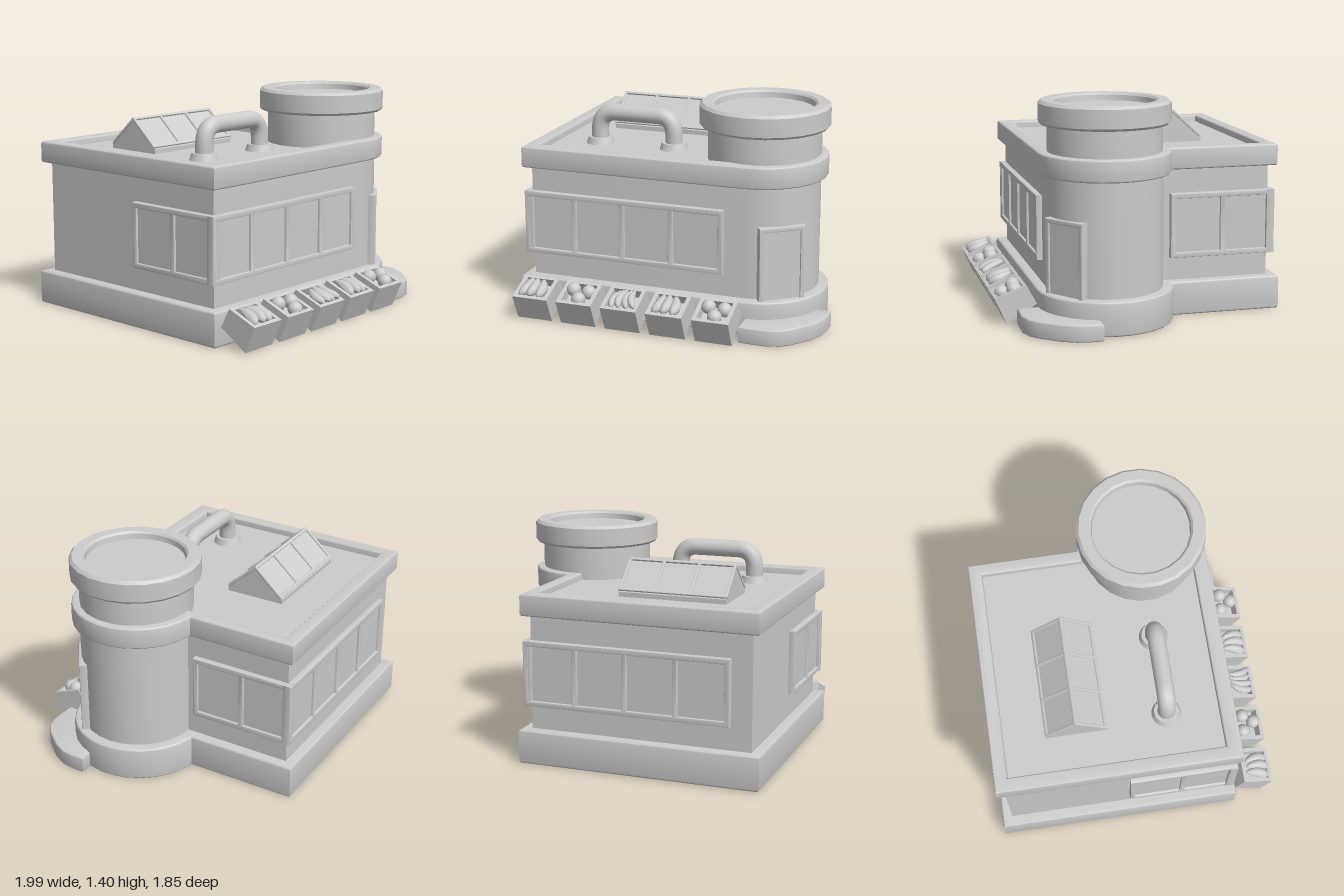
import * as THREE from 'three';
import { toCreasedNormals } from 'three/addons/utils/BufferGeometryUtils.js';

const grey = new THREE.MeshStandardMaterial({ color: 0xcccccc });
const CX = 0.5, CZ = 0.22, R = 0.37; // corner tower centre and radius

function add(parent, name, geo, crease = 0.5) {
  const mesh = new THREE.Mesh(crease ? toCreasedNormals(geo, crease) : geo, grey);
  mesh.name = name;
  parent.add(mesh);
  return mesh;
}

function group(parent, name, x, y, z, ry = 0) {
  const g = new THREE.Group();
  g.name = name;
  g.position.set(x, y, z);
  g.rotation.y = ry;
  parent.add(g);
  return g;
}

const polygon = (pts) => new THREE.Shape(pts.map(([x, y]) => new THREE.Vector2(x, y)));

function rectPath(x0, y0, x1, y1) {
  return new THREE.Path([[x0, y0], [x0, y1], [x1, y1], [x1, y0]].map(([x, y]) => new THREE.Vector2(x, y)));
}

// Building outline in x/z: a square block with a round front corner, grown by o
function footprint(o) {
  const r = R + o, start = -Math.acos(o / r), pts = [[-0.93 - o, 0.59 + o], [-0.93 - o, -0.86 - o], [CX + o, -0.86 - o]];
  for (let i = 0; i <= 14; i++) {
    const a = start + (Math.PI / 2 - start) * i / 14;
    pts.push([CX + r * Math.cos(a), CZ + r * Math.sin(a)]);
  }
  return polygon(pts);
}

// Horizontal slab from an x/z outline, with rounded edges
function slab(shape, y0, y1, b) {
  return new THREE.ExtrudeGeometry(shape, {
    depth: y1 - y0 - 2 * b, bevelEnabled: b > 0, bevelSize: b, bevelThickness: b, bevelOffset: -b, bevelSegments: 3,
  }).rotateX(Math.PI / 2).translate(0, y1 - b, 0);
}

// Framed panel with n openings; its front face lies on local z = 0
function framedPanel(parent, w, h, n, t, depth, recess) {
  const b = 0.006, s = polygon([[-w / 2, -h / 2], [w / 2, -h / 2], [w / 2, h / 2], [-w / 2, h / 2]]);
  const pane = (w - t * (n + 1)) / n;
  for (let i = 0; i < n; i++) {
    const x = -w / 2 + t + i * (pane + t);
    s.holes.push(rectPath(x, -h / 2 + t, x + pane, h / 2 - t));
  }
  add(parent, 'frame', new THREE.ExtrudeGeometry(s, {
    depth: depth - 2 * b, bevelEnabled: true, bevelSize: b, bevelThickness: b, bevelOffset: -b, bevelSegments: 2,
  }).translate(0, 0, b - depth));
  add(parent, 'panes', new THREE.BoxGeometry(w - t, h - t, depth - recess).translate(0, 0, -(depth + recess) / 2));
}

// Prism along x from a z/y profile
function prismX(pts, x, w) {
  return new THREE.ExtrudeGeometry(polygon(pts), { depth: w, bevelEnabled: false })
    .rotateY(-Math.PI / 2).translate(x + w / 2, 0, 0);
}

// Long curved fruit lying along z, tapered to both ends
function longFruit(r, len, bend) {
  const g = new THREE.SphereGeometry(1, 10, 10).rotateX(Math.PI / 2);
  const p = g.attributes.position;
  for (let i = 0; i < p.count; i++) {
    const z = p.getZ(i), swell = 1 + 0.25 * z;
    p.setXYZ(i, p.getX(i) * r * swell + bend * z * z, p.getY(i) * r * swell, z * len / 2);
  }
  g.computeVertexNormals();
  return g;
}

function buildCrate(parent, x, kind) {
  const crate = group(parent, 'fruitCrate', x, 0, 0);
  const A = [0.92, 0.17], B = [0.847, 0.004], C = [0.655, 0.124], D = [0.72, 0.247]; // side profile corners
  const mix = (p, q, t) => [p[0] + (q[0] - p[0]) * t, p[1] + (q[1] - p[1]) * t];
  const w = 0.238, t = 0.026;
  for (const s of [-1, 1]) add(crate, 'crateSide', prismX([A, D, C, B], s * (w - t) / 2, t));
  add(crate, 'crateFront', prismX([A, mix(A, D, 0.12), mix(B, C, 0.12), B], 0, w - t));
  add(crate, 'crateBack', prismX([D, mix(D, A, 0.1), mix(C, B, 0.1), C], 0, w - t));
  add(crate, 'crateFloor', prismX([mix(A, B, 0.35), mix(D, C, 0.45), C, B], 0, w - t));
  const fruit = group(crate, 'fruit', 0, 0.207, 0.82);
  fruit.rotation.x = 0.36;
  if (kind === 0) {
    for (const [fx, fz] of [[-0.052, -0.04], [0.055, -0.03], [0.012, 0.045]]) {
      add(fruit, 'roundFruit', new THREE.SphereGeometry(0.046, 14, 10).translate(fx, -0.008, fz), 0);
    }
  } else {
    for (let i = 0; i < kind; i++) {
      const f = add(fruit, 'longFruit', longFruit(kind === 4 ? 0.026 : 0.033, 0.165, kind === 4 ? 0.02 : -0.014), 0);
      f.position.set((i - (kind - 1) / 2) * 0.15 / kind, 0.002 + 0.008 * (i % 2), 0.004 * (i % 2));
      f.rotation.y = (i - (kind - 1) / 2) * 0.16;
    }
  }
}

export function createModel() {
  const model = new THREE.Group();
  model.name = 'shop';

  // Stepped block: plinth, walls and roof parapet
  add(model, 'plinth', slab(footprint(0.065), 0, 0.22, 0.018));
  add(model, 'walls', slab(footprint(0), 0.1, 1.035, 0));
  const rim = footprint(0.048);
  rim.holes.push(rectPath(-0.89, -0.82, 0.47, 0.54));
  add(model, 'parapet', slab(rim, 0.94, 1.08, 0.015));

  // Round tower top with a thick rim and sunken lid
  const profile = [[0.36, 1.02], [0.36, 1.25], [0.4, 1.25], [0.413, 1.265], [0.413, 1.38], [0.395, 1.398],
    [0.33, 1.398], [0.317, 1.385], [0.312, 1.35], [0, 1.35]].map(([x, y]) => new THREE.Vector2(x, y));
  add(model, 'towerTop', new THREE.LatheGeometry(profile, 22).translate(0.512, 0, CZ));

  // Window bands wrapping two opposite corners
  const out = 0.038, y = 0.577;
  for (const [x, z, ry, w, n] of [
    [-0.303, 0.59 + out, 0, 1.34, 4], [-0.13, -0.86 - out, Math.PI, 1.34, 4],
    [CX + out, -0.55, Math.PI / 2, 0.69, 2], [-0.93 - out, 0.28, -Math.PI / 2, 0.69, 2],
  ]) framedPanel(group(model, 'windowBand', x, y, z, ry), w, 0.415, n, 0.034, 0.055, 0.016);

  // Door set across the round corner, with its step
  const a = Math.atan2(0.588, 0.809), d = 0.388;
  framedPanel(group(model, 'door', CX + d * Math.sin(a), 0.397, CZ + d * Math.cos(a), a), 0.3, 0.59, 1, 0.03, 0.055, 0.012);
  add(model, 'doorStep', slab(polygon([[0.52, 0.5], [0.52, 0.785], [0.7, 0.79], [0.78, 0.765], [0.84, 0.72], [0.94, 0.6],
    [0.985, 0.51], [0.998, 0.43], [0.998, 0.345], [0.9, 0.345]]), 0, 0.11, 0.014));

  // Ridged skylight with three panes on each slope
  const light = group(model, 'skylight', -0.315, 0, -0.365);
  add(light, 'skylightCore', prismX([[-0.195, 1.02], [0.195, 1.02], [0.195, 1.065], [0, 1.238], [-0.195, 1.065]], 0, 0.7));
  for (const ry of [0, Math.PI]) {
    const side = group(light, 'skylightSlope', 0, 0, 0, ry);
    const slope = group(side, 'glazing', 0, 1.166, 0.0985);
    slope.rotation.x = -Math.atan2(0.195, 0.175);
    framedPanel(slope, 0.71, 0.262, 3, 0.02, 0.02, 0.012);
  }

  // Roof pipe on two flanges
  const path = new THREE.CurvePath();
  const pts = [[-0.612, 1.02], [-0.612, 1.12], [-0.612, 1.245], [-0.5, 1.245], [-0.212, 1.245], [-0.1, 1.245], [-0.1, 1.12], [-0.1, 1.02]]
    .map(([px, py]) => new THREE.Vector3(px, py, 0.21));
  path.add(new THREE.LineCurve3(pts[0], pts[1]));
  path.add(new THREE.QuadraticBezierCurve3(pts[1], pts[2], pts[3]));
  path.add(new THREE.LineCurve3(pts[3], pts[4]));
  path.add(new THREE.QuadraticBezierCurve3(pts[4], pts[5], pts[6]));
  path.add(new THREE.LineCurve3(pts[6], pts[7]));
  add(model, 'roofPipe', new THREE.TubeGeometry(path, 48, 0.056, 16), 0);
  for (const x of [-0.612, -0.1]) {
    add(model, 'pipeFlange', new THREE.CylinderGeometry(0.078, 0.094, 0.045, 18).translate(x, 1.055, 0.21));
  }

  // Row of tilted fruit crates: 0 is round fruit, otherwise the count of long fruit
  [3, 0, 4, 3, 0].forEach((kind, i) => buildCrate(model, -0.82 + i * 0.301, kind));
  return model;
}
